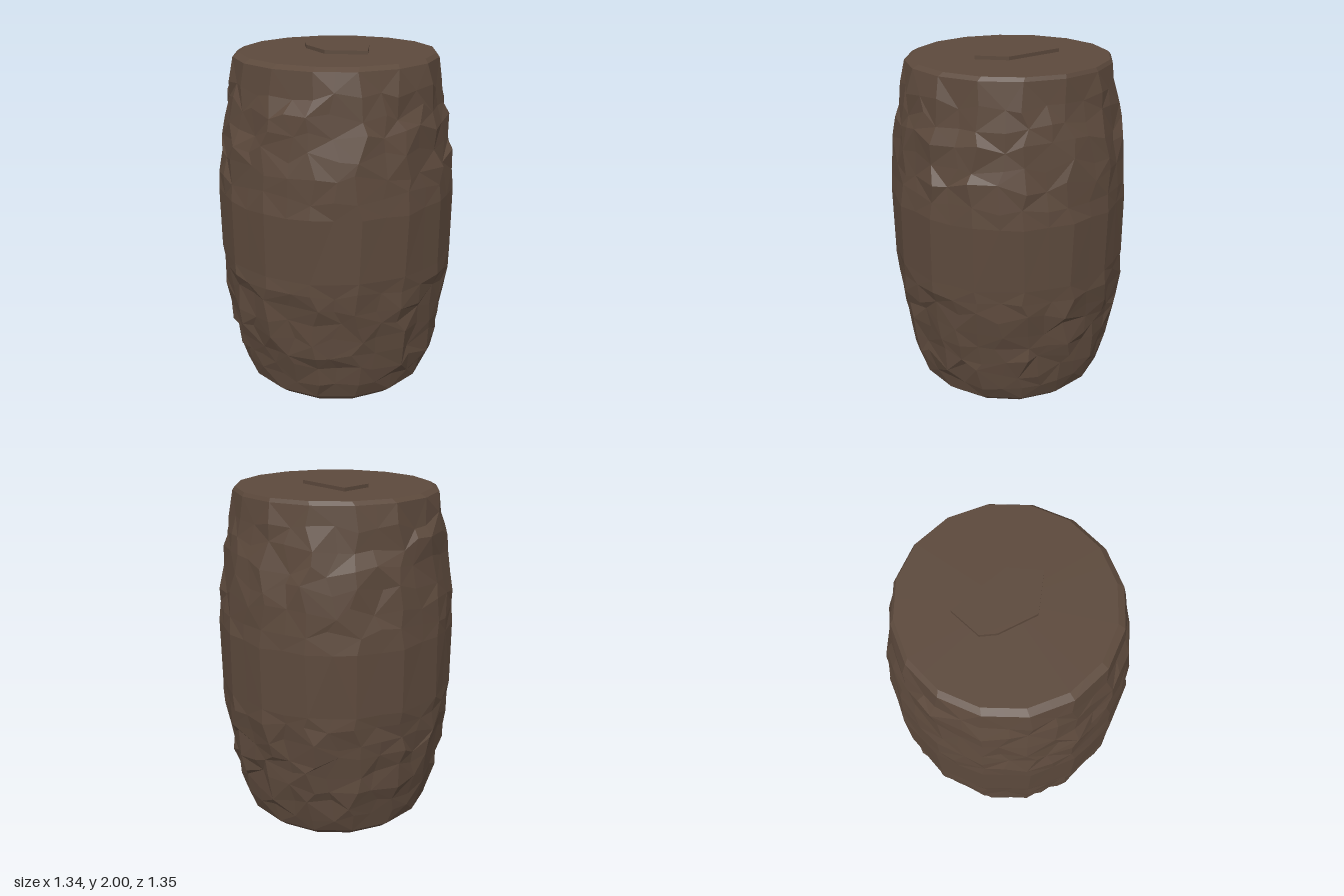
import * as THREE from 'three';

const SIDES = 16, COLS = 32;

// small seeded generator
function seeded(seed) {
  return () => {
    seed = (seed * 1664525 + 1013904223) % 4294967296;
    return seed / 4294967296;
  };
}

// stacks 16-sided rings [y, apothem, roughness, zShift] from bottom to top
function rings(rows, seed) {
  const rand = seeded(seed), pos = [], index = [];
  const half = Math.PI / SIDES;
  rows.forEach(([y, apothem, rough, shift = 0]) => {
    for (let i = 0; i < COLS; i++) {
      // odd columns are corners, even columns are facet centres
      let a = i * half, r = i % 2 ? apothem / Math.cos(half) : apothem;
      let h = y;
      if (rough) {
        a += (rand() - 0.5) * 0.12 * rough;
        r += (rand() - 0.6) * 0.03 * rough;
        h += (rand() - 0.5) * 0.07 * rough;
      }
      pos.push(r * Math.sin(a), h, r * Math.cos(a) + shift);
    }
  });
  for (let j = 0; j < rows.length - 1; j++) {
    for (let i = 0; i < COLS; i++) {
      const a = j * COLS + i, b = j * COLS + (i + 1) % COLS, c = a + COLS, d = b + COLS;
      const low = rows[j][1] === 0, high = rows[j + 1][1] === 0;
      if (low) index.push(a, d, c);
      else if (high) index.push(a, b, c);
      else if ((i + j) % 2) index.push(a, b, d, a, d, c);
      else index.push(a, b, c, b, d, c);
    }
  }
  const g = new THREE.BufferGeometry();
  g.setAttribute('position', new THREE.Float32BufferAttribute(pos, 3));
  g.setIndex(index);
  const flat = g.toNonIndexed();
  flat.computeVertexNormals();
  return flat;
}

// low flat patch lying on the lid or base; points are [x, z]
function patch(points, height) {
  const shape = new THREE.Shape(points.map(([x, z]) => new THREE.Vector2(x, -z)));
  const g = new THREE.ExtrudeGeometry(shape, { depth: height, bevelEnabled: false });
  return g.rotateX(-Math.PI / 2);
}

export function createModel() {
  const group = new THREE.Group();
  const wood = new THREE.MeshStandardMaterial({ color: 0x5c493c });
  wood.name = 'dark brown wood';
  const add = (name, geometry, y = 0) => {
    const m = new THREE.Mesh(geometry, wood);
    m.name = name;
    m.position.y = y;
    group.add(m);
  };

  // bulging body: worn wood above and below a smooth middle band
  add('barrelBody', rings([
    [0.09, 0.55, 0], [0.19, 0.58, 0.8], [0.29, 0.603, 1], [0.39, 0.622, 1],
    [0.49, 0.637, 1], [0.59, 0.65, 1], [0.69, 0.66, 1], [0.79, 0.666, 0.6],
    [0.86, 0.668, 0.2], [1.22, 0.668, 0.2], [1.32, 0.663, 0.7], [1.43, 0.653, 1],
    [1.54, 0.638, 1], [1.64, 0.622, 1], [1.74, 0.603, 1], [1.84, 0.585, 0.8],
    [1.96, 0.56, 0],
  ], 7));

  // lid with a narrow sloping rim
  add('lid', rings([[1.96, 0.56, 0], [1.98, 0.535, 0, -0.015], [1.981, 0, 0, -0.015]], 3));
  add('lidPatch', patch([[-0.23, -0.155], [0.12, -0.14], [0.24, 0], [0.06, 0.145],
    [-0.15, 0.085], [-0.22, 0.03]], 0.02), 1.98);

  // chamfered base
  add('base', rings([[0.01, 0, 0], [0.01, 0.36, 0], [0.035, 0.49, 0], [0.09, 0.55, 0]], 5));
  add('basePatch', patch([[-0.2, -0.2], [0, -0.27], [0.2, -0.2], [0.24, 0.02],
    [0.1, 0.2], [-0.15, 0.18], [-0.25, 0]], 0.012));

  return group;
}
